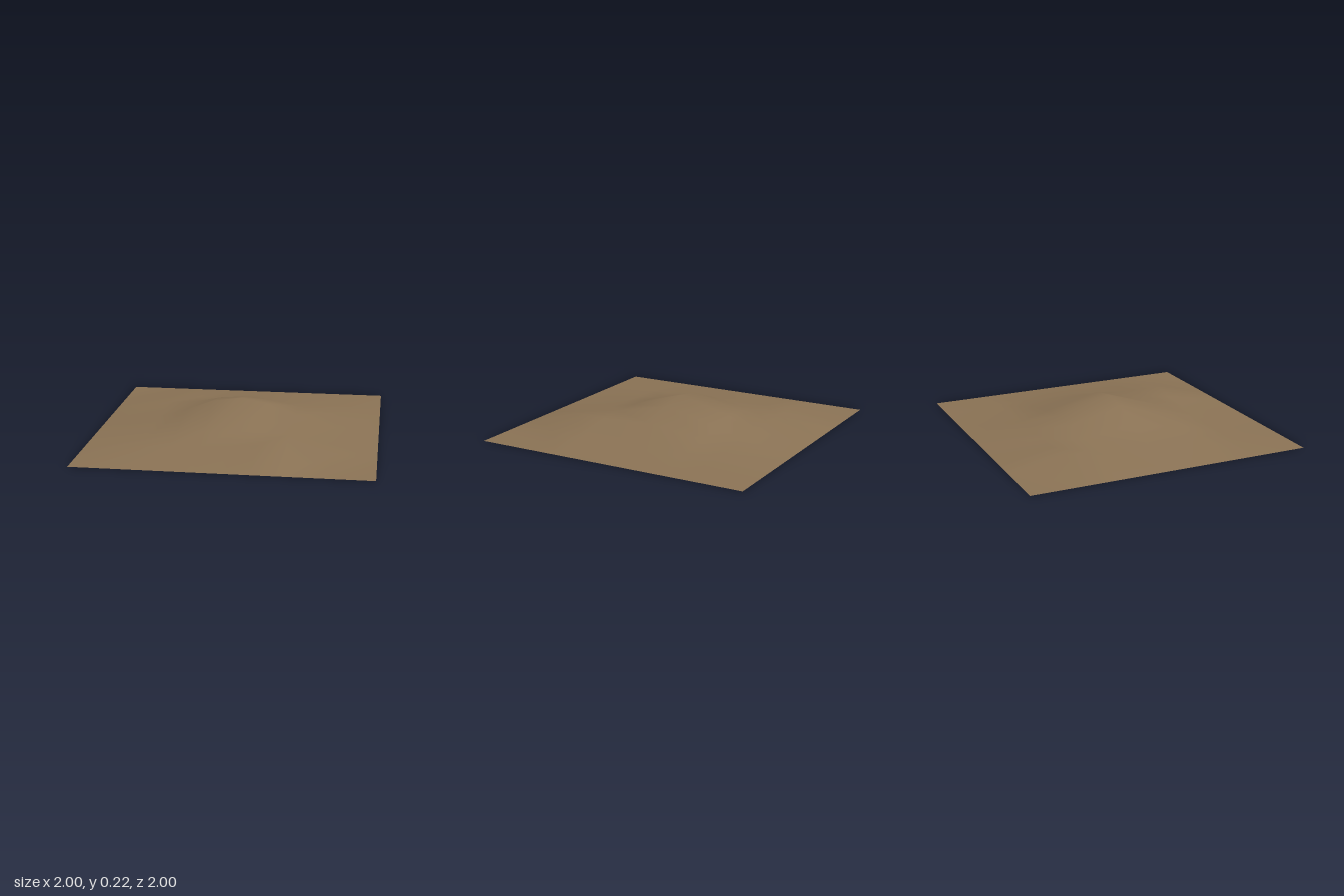
import * as THREE from 'three';

// Grid lines of the terrain and the height at each inner crossing
const XS = [-1, -0.6, -0.4, -0.2, 0, 0.2, 0.4, 0.7, 1];
const ZS = [-1, -0.6, -0.4, 0, 0.4, 0.6, 1];
const HEIGHTS = [
  [0.065, 0.05, 0.05, 0.055, 0.05, 0.03, 0.02],
  [0.055, 0.07, 0.11, 0.125, 0.10, 0.06, 0.025],
  [0.06, 0.12, 0.195, 0.225, 0.19, 0.11, 0.03],
  [0.035, 0.055, 0.08, 0.095, 0.10, 0.095, 0.03],
  [0.03, 0.03, 0.04, 0.05, 0.07, 0.095, 0.03],
];

export function createModel() {
  const group = new THREE.Group();
  group.name = 'hill';
  const material = new THREE.MeshStandardMaterial({ color: 0x8b7355 });

  // Terrain: a plane moved onto the uneven grid, its rim kept on the ground
  const cols = XS.length;
  const terrainGeometry = new THREE.PlaneGeometry(2, 2, cols - 1, ZS.length - 1).rotateX(-Math.PI / 2);
  const position = terrainGeometry.attributes.position;
  for (let i = 0; i < position.count; i++) {
    const col = i % cols;
    const row = Math.floor(i / cols);
    position.setXYZ(i, XS[col], HEIGHTS[row - 1]?.[col - 1] ?? 0, ZS[row]);
  }
  terrainGeometry.computeVertexNormals();
  const terrain = new THREE.Mesh(terrainGeometry, material);
  terrain.name = 'terrain';

  // Flat underside
  const underside = new THREE.Mesh(new THREE.PlaneGeometry(2, 2).rotateX(Math.PI / 2), material);
  underside.name = 'underside';

  group.add(terrain, underside);
  return group;
}
